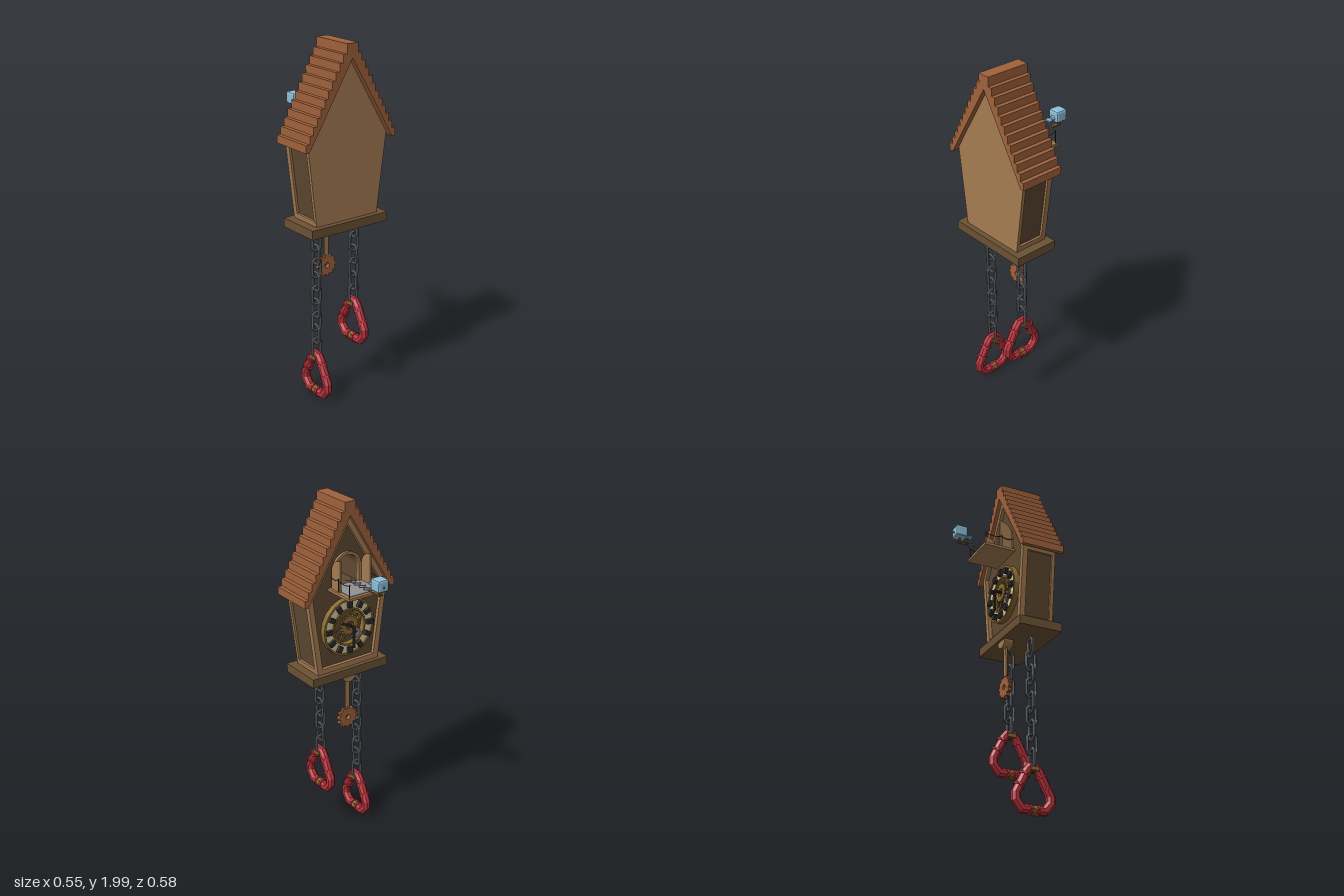
import * as THREE from 'three';
import { RoundedBoxGeometry } from 'three/addons/geometries/RoundedBoxGeometry.js';

const WOOD = 0xa57c52, DARK = 0x6b5234, PANEL = 0x5f4a32, ROOF = 0xa0623c, STEEL = 0x62676c,
  BLACK = 0x2e2b28, BLUE = 0x8cc0dc, RED = 0xb8323c, BRASS = 0x8a6a30, CREAM = 0xd8c8a0, GREY = 0x929292;

export function createModel() {
  const root = new THREE.Group();
  const mats = {};
  const mat = c => mats[c] ??= new THREE.MeshStandardMaterial({ color: c, flatShading: true });
  const add = (name, geo, color, parent = root) => {
    const m = new THREE.Mesh(geo, mat(color));
    m.name = name;
    parent.add(m);
    return m;
  };
  const box = (name, x0, x1, y0, y1, z0, z1, color) =>
    add(name, new THREE.BoxGeometry(x1 - x0, y1 - y0, z1 - z0)
      .translate((x0 + x1) / 2, (y0 + y1) / 2, (z0 + z1) / 2), color);
  const poly = pts => new THREE.Shape(pts.map(p => new THREE.Vector2(...p)));
  // extrude a (z, y) outline along x
  const slab = (name, shape, x0, x1, color) =>
    add(name, new THREE.ExtrudeGeometry(shape, { depth: x1 - x0, bevelEnabled: false, curveSegments: 10 })
      .rotateY(Math.PI / 2).translate(x0, 0, 0), color);
  const bar = (name, a, b, w, h, color) => {
    const p = new THREE.Vector3(...a), q = new THREE.Vector3(...b);
    const m = add(name, new THREE.BoxGeometry(w, h, p.distanceTo(q)), color);
    m.position.copy(p).lerp(q, 0.5);
    m.lookAt(q);
  };
  const disc = (r, hole, cy, n = 32) => {
    const s = new THREE.Shape().absarc(0, cy, r, 0, Math.PI * 2);
    if (hole) s.holes.push(new THREE.Path().absarc(0, cy, hole, 0, Math.PI * 2));
    return s;
  };
  const gear = (r, teeth, hole, cy, cz = 0) => {
    const pts = [];
    for (let i = 0; i < teeth * 4; i++) {
      const a = i / (teeth * 4) * Math.PI * 2, q = i % 4 < 2 ? r : r * 0.83;
      pts.push([cz + q * Math.cos(a), cy + q * Math.sin(a)]);
    }
    const s = poly(pts);
    s.holes.push(new THREE.Path().absarc(cz, cy, hole, 0, Math.PI * 2));
    return s;
  };
  // closed mitred tube along a counterclockwise outline in the xy plane
  const loop = (pts, r, sides) => {
    const n = pts.length, pos = [], idx = [];
    const v = pts.map(p => new THREE.Vector2(...p));
    const normal = (a, b) => { const e = b.clone().sub(a).normalize(); return new THREE.Vector2(e.y, -e.x); };
    for (let i = 0; i < n; i++) {
      const n1 = normal(v[(i + n - 1) % n], v[i]), n2 = normal(v[i], v[(i + 1) % n]);
      const m = n1.clone().add(n2).divideScalar(1 + n1.dot(n2));
      for (let j = 0; j < sides; j++) {
        const a = (j + 0.5) / sides * Math.PI * 2, c = r * Math.cos(a);
        pos.push(v[i].x + m.x * c, v[i].y + m.y * c, r * Math.sin(a));
        const A = i * sides + j, B = ((i + 1) % n) * sides + j;
        const C = ((i + 1) % n) * sides + (j + 1) % sides, D = i * sides + (j + 1) % sides;
        idx.push(A, B, C, A, C, D);
      }
    }
    const g = new THREE.BufferGeometry();
    g.setAttribute('position', new THREE.Float32BufferAttribute(pos, 3));
    g.setIndex(idx);
    g.computeVertexNormals();
    return g;
  };

  // house body
  const house = d => [[-0.2 + d, 1.06 + d], [0.2 - d, 1.06 + d], [0.255 - d, 1.5], [0, 1.93 - d * 1.9], [-0.255 + d, 1.5]];
  const arch = r => new THREE.Shape().moveTo(-r, 1.54).lineTo(r, 1.54).lineTo(r, 1.63)
    .absarc(0, 1.63, r, 0, Math.PI).lineTo(-r, 1.54);
  const core = poly(house(0.012));
  core.holes.push(arch(0.075));
  slab('cabinet', core, 0.06, 0.22, PANEL);
  const frame = poly(house(0));
  frame.holes.push(poly(house(0.03)));
  slab('frontFrame', frame, 0.04, 0.07, WOOD);
  slab('backPanel', poly(house(0)), 0.22, 0.24, WOOD);
  for (const s of [-1, 1]) {
    slab('sideBottomRail', poly([[s * 0.18, 1.06], [s * 0.2, 1.06], [s * 0.204, 1.09], [s * 0.184, 1.09]]), 0.06, 0.23, WOOD);
    slab('sideTopRail', poly([[s * 0.22, 1.47], [s * 0.2515, 1.47], [s * 0.255, 1.5], [s * 0.22, 1.5]]), 0.06, 0.23, WOOD);
  }
  const trim = arch(0.09);
  trim.holes.push(arch(0.075));
  slab('doorTrim', trim, 0.045, 0.065, WOOD);
  box('baseBoard', 0.015, 0.27, 1.01, 1.06, -0.25, 0.25, DARK);

  // stepped shingle roof
  const outer = [];
  const rows = 11, dy = 0.47 / rows, dz = 0.255 / rows;
  for (let i = 0; i <= rows; i++) {
    const z = 0.035 + dz * i, top = i ? 1.95 - dy * (i - 1) : 2;
    outer.push([z, top], [z, 1.95 - dy * i]);
  }
  slab('shingleRoof', poly([...outer, [0.268, 1.48], [0, 1.925], [-0.268, 1.48],
    ...outer.map(([z, y]) => [-z, y]).reverse()]), 0.018, 0.272, ROOF);

  // balcony, shutters and rope railing
  box('balcony', -0.125, 0.06, 1.525, 1.54, -0.115, 0.115, WOOD);
  box('balconyPlate', -0.105, 0.06, 1.538, 1.543, -0.092, 0.092, GREY);
  for (const s of [-1, 1]) {
    const leaf = new THREE.Shape().moveTo(-0.027, 1.54).lineTo(0.05, 1.54).lineTo(0.05, 1.63)
      .absellipse(-0.027, 1.63, 0.077, 0.08, 0, Math.PI / 2).lineTo(-0.027, 1.54);
    add('shutter', new THREE.ExtrudeGeometry(leaf, { depth: 0.01, bevelEnabled: false })
      .translate(0, 0, s * 0.096 - 0.005), WOOD);
    const xs = [-0.115, -0.017, 0.05], z = s * 0.104;
    for (const x of xs.slice(0, 2)) {
      add('railPost', new THREE.CylinderGeometry(0.003, 0.003, 0.07, 6).translate(x, 1.575, z), BLACK);
      add('railKnob', new THREE.SphereGeometry(0.005, 6, 4).translate(x, 1.61, z), BLACK);
    }
    for (let i = 0; i < 2; i++) {
      const path = new THREE.QuadraticBezierCurve3(new THREE.Vector3(xs[i], 1.607, z),
        new THREE.Vector3((xs[i] + xs[i + 1]) / 2, 1.587, z), new THREE.Vector3(xs[i + 1], 1.607, z));
      add('railRope', new THREE.TubeGeometry(path, 6, 0.002, 5), BLACK);
    }
  }

  // scissor arm
  for (let i = 0; i < 5; i++) for (const s of [-1, 1]) {
    const x = 0.04 - i * 0.041;
    bar('scissorArm', [x, 1.572 + s * 0.002, s * 0.022], [x - 0.041, 1.572 + s * 0.002, -s * 0.022], 0.005, 0.004, GREY);
    bar('scissorEnd', [-0.165, 1.572, s * 0.022], [-0.19, 1.572, 0], 0.005, 0.004, GREY);
  }
  box('birdPerch', -0.24, -0.185, 1.567, 1.575, -0.012, 0.012, DARK);
  box('birdLeg', -0.236, -0.226, 1.575, 1.6, -0.005, 0.005, DARK);

  // bird
  add('birdBody', new RoundedBoxGeometry(0.07, 0.066, 0.068, 1, 0.011).translate(-0.229, 1.628, 0), BLUE);
  add('birdRump', new THREE.CylinderGeometry(0.017, 0.01, 0.02, 8).rotateZ(Math.PI / 2).translate(-0.186, 1.617, 0), BLUE);
  box('birdTail', -0.178, -0.155, 1.611, 1.618, -0.018, 0.018, BLUE);
  add('birdBeak', new THREE.ConeGeometry(0.011, 0.014, 4).rotateZ(Math.PI / 2).translate(-0.267, 1.623, 0), DARK);

  // dial with hour plates, gearwork and hands
  const cy = 1.3;
  slab('dialRing', disc(0.16, 0.105, cy), 0.035, 0.05, CREAM);
  slab('dialRim', disc(0.166, 0.155, cy), 0.028, 0.06, BRASS);
  slab('dialInnerRim', disc(0.108, 0.098, cy), 0.028, 0.06, BRASS);
  for (let i = 0; i < 12; i++) {
    const a = i * Math.PI / 6;
    const m = add('hourPlate', new THREE.BoxGeometry(0.02, 0.036, 0.026), BLACK);
    m.position.set(0.026, cy + 0.133 * Math.cos(a), 0.133 * Math.sin(a));
    m.rotation.x = a;
  }
  for (const [r, n, z, y, x, c] of [[0.06, 16, 0, 0.01, 0.025, BRASS], [0.038, 12, 0.055, -0.045, 0.04, DARK],
    [0.038, 12, -0.055, 0.045, 0.04, BRASS], [0.03, 10, -0.05, -0.05, 0.035, GREY]])
    slab('dialGear', gear(r, n, r * 0.4, cy + y, z), x, x + 0.012, c);
  add('handAxle', new THREE.CylinderGeometry(0.008, 0.008, 0.08, 8).rotateZ(Math.PI / 2).translate(0.025, 1.31, 0), BLACK);
  box('minuteHand', -0.014, -0.007, 1.19, 1.32, -0.007, 0.007, BLACK);
  bar('hourHand', [0.002, 1.31, 0], [0.002, 1.345, -0.065], 0.007, 0.012, BLACK);

  // pendulum
  slab('pendulumMount', new THREE.Shape().moveTo(-0.042, 1.01).absarc(0, 1.01, 0.042, Math.PI, Math.PI * 2), 0.03, 0.085, WOOD);
  box('pendulumRod', 0.05, 0.06, 0.78, 1.0, -0.014, 0.014, WOOD);
  slab('pendulumGear', gear(0.064, 12, 0.015, 0.74), 0.044, 0.066, ROOF);

  // chains and red clip weights
  const link = loop([[-0.012, -0.054], [0.012, -0.054], [0.027, -0.036], [0.027, 0.036],
    [0.012, 0.054], [-0.012, 0.054], [-0.027, 0.036], [-0.027, -0.036]], 0.0085, 6);
  const clip = loop([[-0.065, 0.042], [0.065, 0.042], [0.1, 0.085], [0.1, 0.12],
    [0.038, 0.24], [0.02, 0.262], [-0.02, 0.262], [-0.038, 0.24], [-0.1, 0.12], [-0.1, 0.085]], 0.025, 8);
  const band = new THREE.CylinderGeometry(0.031, 0.031, 0.012, 8);
  for (const [z, top, count, low, turn] of [[0.13, 0.94, 9, 0, 0], [-0.125, 0.96, 6, 0.26, 1]]) {
    for (let i = 0; i < count; i++) {
      const m = add('chainLink', link, STEEL);
      m.position.set(0.14, top - i * 0.0785, z);
      m.rotation.y = (i + turn) % 2 ? 0 : Math.PI / 2;
    }
    const weight = new THREE.Group();
    weight.name = 'clipWeight';
    weight.position.set(0.143, low, z);
    root.add(weight);
    add('clipBody', clip, RED, weight);
    add('clipKnot', new THREE.BoxGeometry(0.05, 0.02, 0.06).translate(0, 0.253, 0), BRASS, weight);
    for (const s of [-1, 1]) {
      add('clipBand', band, RED, weight).position.set(s * 0.022, 0.042, 0);
      weight.children.at(-1).rotation.z = Math.PI / 2;
      for (const [x, y] of [[0.079, 0.16], [0.048, 0.22]]) {
        const m = add('clipBand', band, RED, weight);
        m.position.set(s * x, y, 0);
        m.rotation.z = s * 0.477;
      }
    }
    add('clipPin', new THREE.CylinderGeometry(0.027, 0.027, 0.02, 8).rotateZ(Math.PI / 2).translate(0, 0.042, 0), BRASS, weight);
  }
  return root;
}
